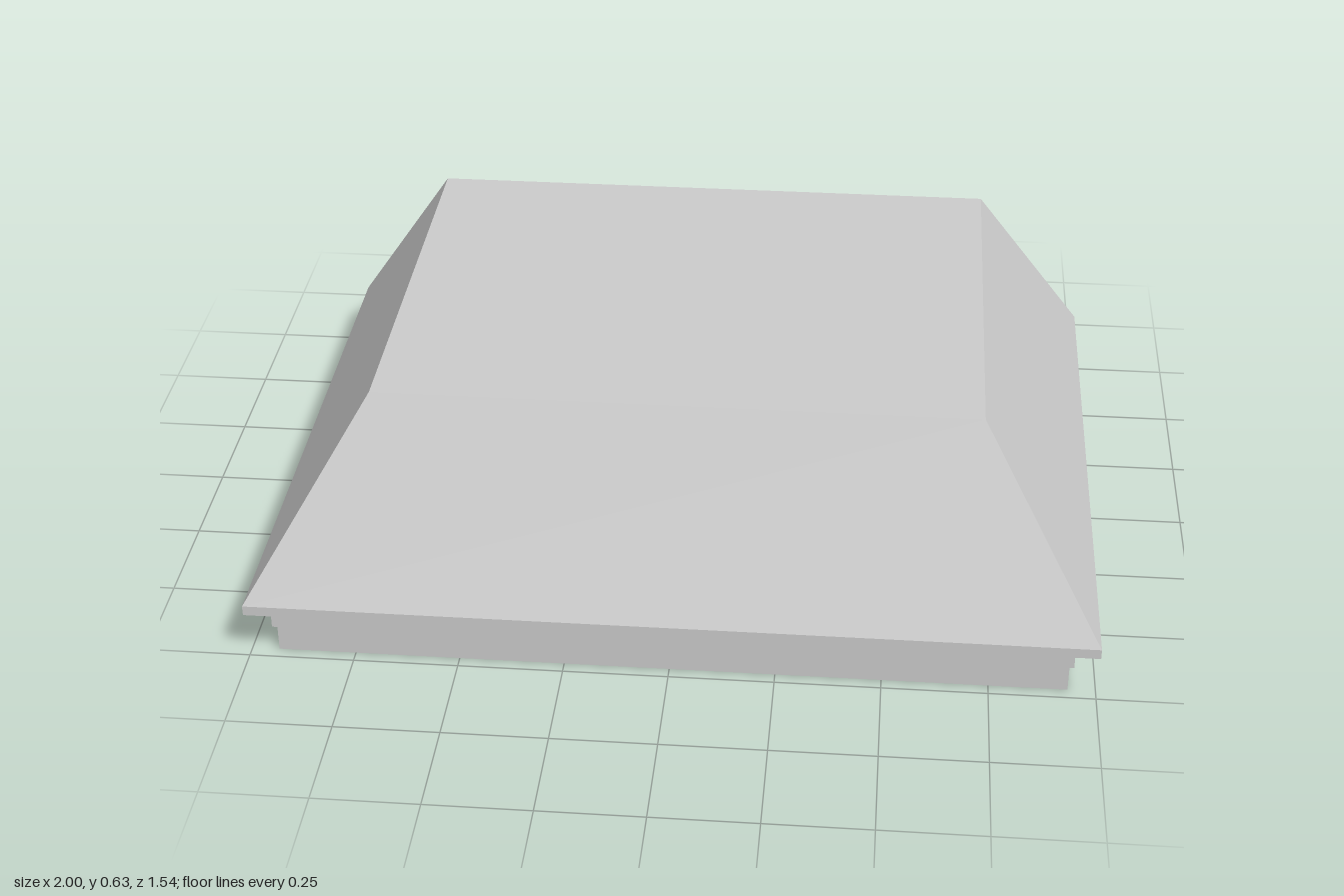
import * as THREE from 'three';

// Flat-sided block between two heights; the top may be smaller than the bottom.
function block(name, y0, y1, [bx, bz], [tx, tz] = [bx, bz]) {
  const geometry = new THREE.BoxGeometry(2 * bx, y1 - y0, 2 * bz);
  const pos = geometry.attributes.position;
  for (let i = 0; i < pos.count; i++) {
    if (pos.getY(i) > 0) {
      pos.setX(i, Math.sign(pos.getX(i)) * tx);
      pos.setZ(i, Math.sign(pos.getZ(i)) * tz);
    }
  }
  geometry.translate(0, (y0 + y1) / 2, 0);
  geometry.computeVertexNormals();
  const mesh = new THREE.Mesh(
    geometry,
    new THREE.MeshStandardMaterial({ color: 0xcccccc, flatShading: true })
  );
  mesh.name = name;
  return mesh;
}

export function createModel() {
  const group = new THREE.Group();
  group.name = 'hippedRoof';
  const eave = [1, 0.77];
  group.add(
    block('base', 0, 0.072, [0.935, 0.72]),
    block('trimBand', 0.072, 0.132, [0.945, 0.73]),
    block('eaveSlab', 0.132, 0.157, eave),
    // sloping sides with a flat top
    block('roof', 0.157, 0.627, eave, [0.71, 0.549])
  );
  return group;
}
